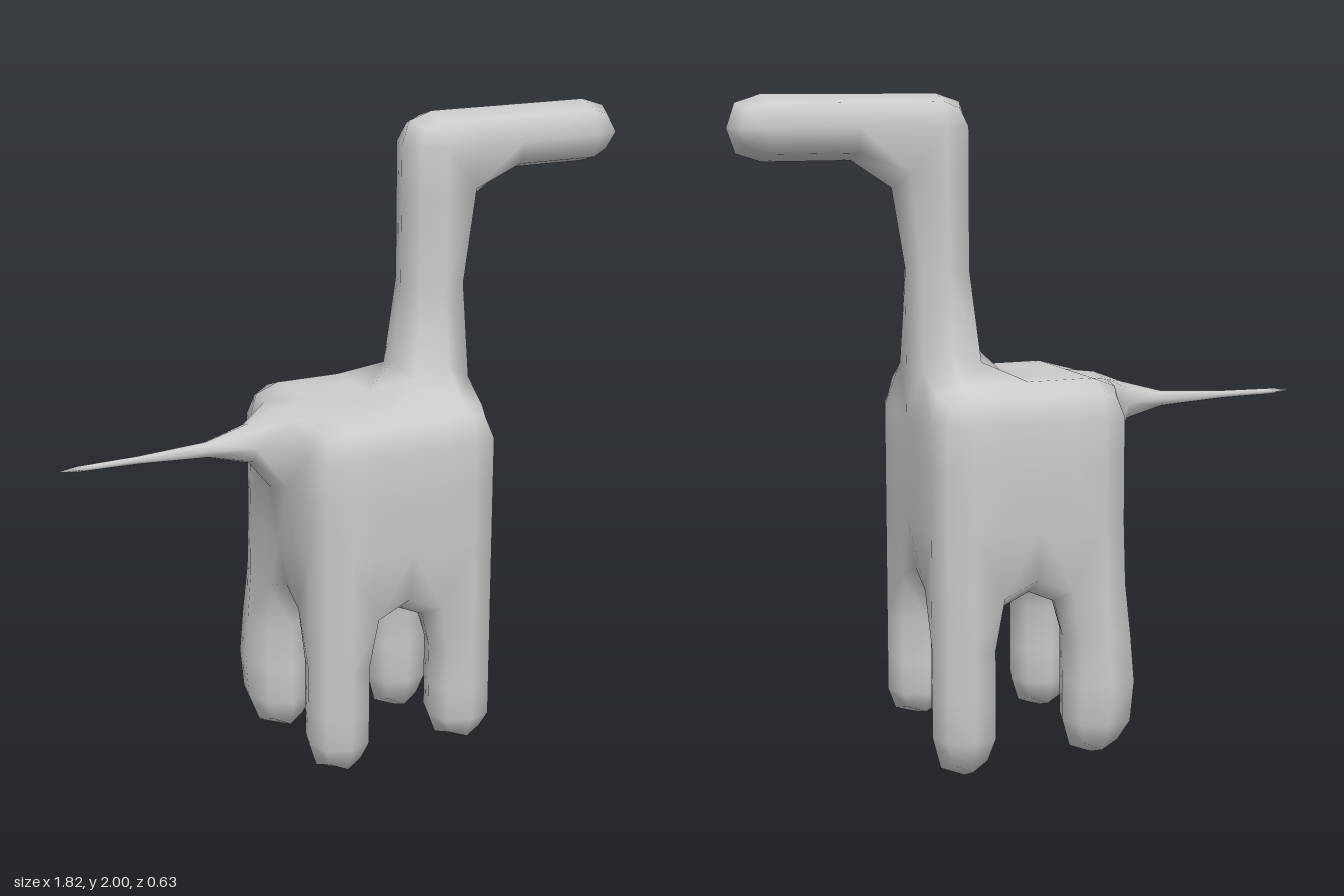
import * as THREE from 'three';

// Grid lines of the block cage
const GRID = [
  [-0.91, -0.41, -0.22, -0.03, 0.19, 0.385, 0.71, 0.91],
  [0, 0.25, 0.54, 0.95, 1.17, 1.81, 2.0],
  [-0.305, -0.105, 0.105, 0.305],
];

// Blocks of each part as index ranges: [x0, x1, y0, y1, z0, z1]
const PARTS = {
  torso: [[2, 4, 2, 3, 0, 2]],
  backRightLeg: [[2, 2, 0, 1, 0, 0]],
  backLeftLeg: [[2, 2, 0, 1, 2, 2]],
  frontRightLeg: [[4, 4, 0, 1, 0, 0]],
  frontLeftLeg: [[4, 4, 0, 1, 2, 2]],
  neck: [[4, 4, 4, 4, 1, 1]],
  head: [[4, 6, 5, 5, 1, 1]],
  tail: [[0, 1, 3, 3, 1, 1]],
};

// Position of a cage corner, with the tail tapered and the feet uneven
function corner([i, j, k]) {
  const p = new THREE.Vector3(GRID[0][i], GRID[1][j], GRID[2][k]);
  if (i < 2) {
    p.y = 1.06 + (j === 3 ? -0.012 : 0.012);
    p.z = k === 1 ? -0.012 : 0.012;
  }
  if (j === 0) {
    if (i < 4) p.y = k < 2 ? 0.02 : 0.05;
    else p.y = k < 2 ? 0 : 0.075;
  }
  // Slight knob on the outer corner of one hind leg
  if (i === 2 && j === 1 && k === 0) p.add(new THREE.Vector3(-0.045, 0, -0.045));
  return p;
}

// Outer quads of all the blocks
function buildCage() {
  const cells = new Map();
  for (const [part, boxes] of Object.entries(PARTS)) {
    for (const [x0, x1, y0, y1, z0, z1] of boxes)
      for (let x = x0; x <= x1; x++)
        for (let y = y0; y <= y1; y++)
          for (let z = z0; z <= z1; z++) cells.set([x, y, z].join(), { part, at: [x, y, z] });
  }
  const points = [], ids = new Map(), quads = [];
  const idOf = (c) => {
    const key = c.join();
    if (!ids.has(key)) ids.set(key, points.push(corner(c)) - 1);
    return ids.get(key);
  };
  for (const { part, at } of cells.values()) {
    for (let a = 0; a < 3; a++) {
      for (const s of [-1, 1]) {
        const next = [...at];
        next[a] += s;
        if (cells.has(next.join())) continue;
        const v = [[0, 0], [1, 0], [1, 1], [0, 1]].map(([u, w]) => {
          const c = [...at];
          c[a] += s > 0 ? 1 : 0;
          c[(a + 1) % 3] += u;
          c[(a + 2) % 3] += w;
          return idOf(c);
        });
        quads.push({ part, v: s > 0 ? v : v.reverse() });
      }
    }
  }
  return { points, quads };
}

const average = (list) =>
  list.reduce((sum, p) => sum.add(p), new THREE.Vector3()).divideScalar(list.length);

// One round of Catmull-Clark smoothing
function subdivide({ points, quads }) {
  const out = points.map(() => null);
  const edges = new Map();
  const around = points.map(() => ({ faces: [], mids: [] }));
  const keyOf = (a, b) => (a < b ? a + '_' + b : b + '_' + a);
  for (const q of quads) {
    q.centre = average(q.v.map((i) => points[i]));
    q.id = out.push(q.centre) - 1;
    q.v.forEach((a, n) => {
      const b = q.v[(n + 1) % 4];
      around[a].faces.push(q.centre);
      const key = keyOf(a, b);
      if (!edges.has(key)) edges.set(key, { a, b, faces: [] });
      edges.get(key).faces.push(q.centre);
    });
  }
  for (const e of edges.values()) {
    e.id = out.push(average([points[e.a], points[e.b], ...e.faces])) - 1;
    const mid = average([points[e.a], points[e.b]]);
    around[e.a].mids.push(mid);
    around[e.b].mids.push(mid);
  }
  points.forEach((p, i) => {
    const n = around[i].mids.length;
    out[i] = average(around[i].faces)
      .addScaledVector(average(around[i].mids), 2)
      .addScaledVector(p, n - 3)
      .divideScalar(n);
  });
  const fine = [];
  for (const q of quads) {
    q.v.forEach((a, n) => {
      const after = edges.get(keyOf(a, q.v[(n + 1) % 4])).id;
      const before = edges.get(keyOf(a, q.v[(n + 3) % 4])).id;
      fine.push({ part: q.part, v: [a, after, q.id, before] });
    });
  }
  return { points: out, quads: fine };
}

export function createModel() {
  const group = new THREE.Group();
  const material = new THREE.MeshStandardMaterial({ color: 0xcccccc });
  const { points, quads } = subdivide(buildCage());
  const indexOf = (list) => list.flatMap(({ v: [a, b, c, d] }) => [a, b, c, a, c, d]);

  // Normals come from the whole skin, so the parts meet without a seam
  const skin = new THREE.BufferGeometry().setFromPoints(points);
  skin.setIndex(indexOf(quads));
  skin.computeVertexNormals();

  for (const name of Object.keys(PARTS)) {
    const piece = skin.clone();
    piece.setIndex(indexOf(quads.filter((q) => q.part === name)));
    const mesh = new THREE.Mesh(piece.toNonIndexed(), material);
    mesh.name = name;
    group.add(mesh);
  }
  return group;
}
